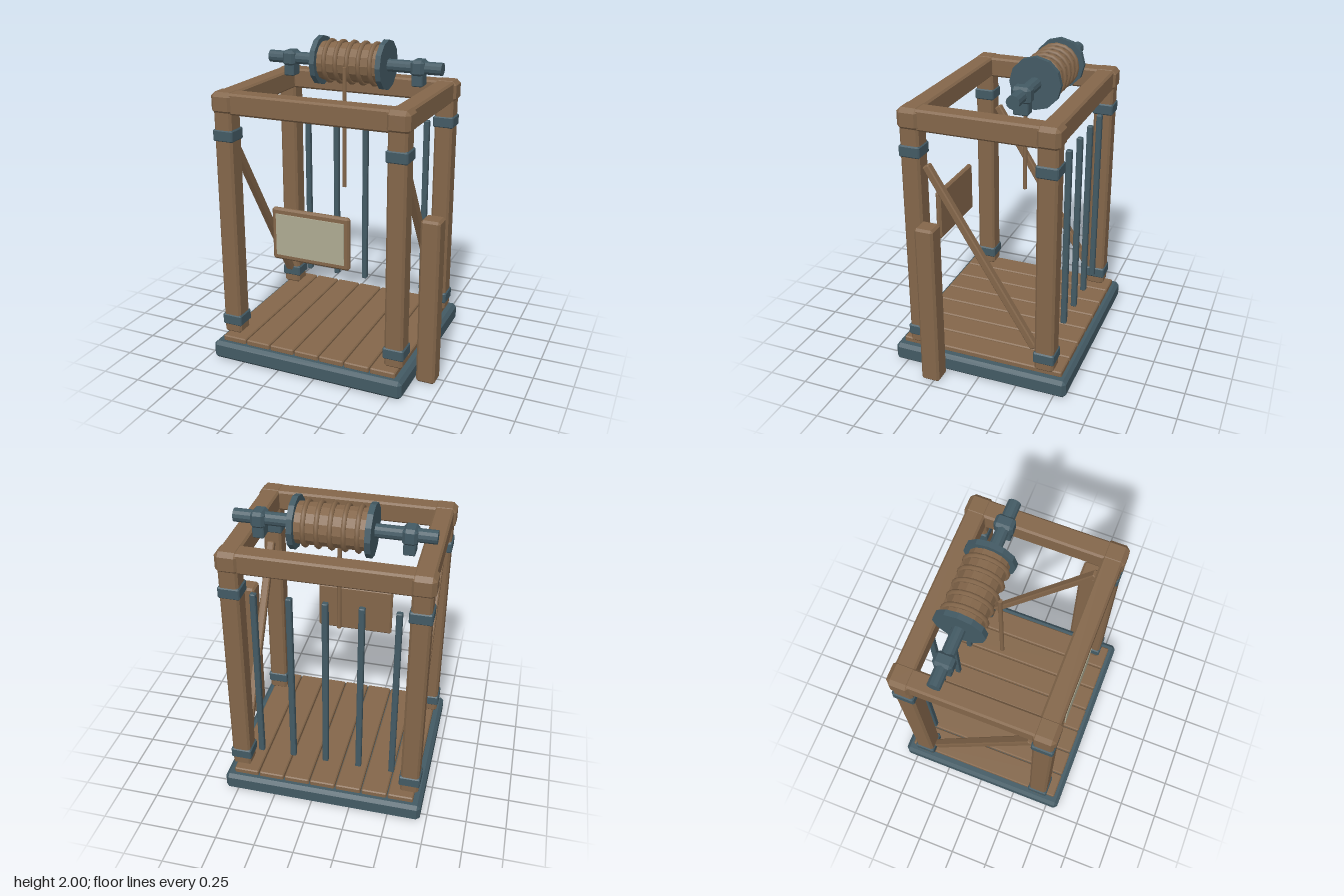
import * as THREE from 'three';
import { ConvexGeometry } from 'three/addons/geometries/ConvexGeometry.js';

const wood = new THREE.MeshStandardMaterial({ name: 'brown wood', color: 0x83664a });
const steel = new THREE.MeshStandardMaterial({ name: 'blue grey steel', color: 0x435a64 });
const paper = new THREE.MeshStandardMaterial({ name: 'pale paper', color: 0xaeaa92 });

// Box with flat chamfers: the hull of three points at each corner
function chamferBox(w, h, d, b) {
  const pts = [];
  for (const sx of [-1, 1]) for (const sy of [-1, 1]) for (const sz of [-1, 1]) {
    const x = sx * w / 2, y = sy * h / 2, z = sz * d / 2;
    pts.push(new THREE.Vector3(x, y - sy * b, z - sz * b),
      new THREE.Vector3(x - sx * b, y, z - sz * b),
      new THREE.Vector3(x - sx * b, y - sy * b, z));
  }
  return new ConvexGeometry(pts);
}

export function createModel() {
  const model = new THREE.Group();
  model.name = 'mineLift';
  const CX = -0.065, CZ = -0.005, PX = 0.555, PZ = 0.42;

  function add(parent, name, geometry, material, x, y, z) {
    const mesh = new THREE.Mesh(geometry, material);
    mesh.name = name;
    mesh.position.set(x, y, z);
    parent.add(mesh);
    return mesh;
  }
  function group(name) {
    const g = new THREE.Group();
    g.name = name;
    model.add(g);
    return g;
  }

  // Platform with floor planks
  const platform = group('platform');
  add(platform, 'base', chamferBox(1.29, 0.12, 1.155, 0.022), steel, CX, 0.06, 0);
  const plank = chamferBox(0.162, 0.04, 1.07, 0.007);
  for (let i = -3; i <= 3; i++) add(platform, 'floorPlank', plank, wood, CX + i * 0.17, 0.135, 0);

  // Corner posts, steel bands and corner caps
  const frame = group('frame');
  const post = chamferBox(0.118, 1.5, 0.122, 0.014);
  const band = chamferBox(0.134, 0.074, 0.134, 0.008);
  const cap = chamferBox(0.148, 0.137, 0.146, 0.026);
  for (const sx of [-1, 1]) for (const sz of [-1, 1]) {
    const x = CX + sx * PX, z = CZ + sz * PZ;
    add(frame, 'cornerPost', post, wood, x, 0.9, z);
    add(frame, 'lowerBand', band, steel, x, 0.243, z);
    add(frame, 'upperBand', band, steel, x, 1.475, z);
    add(frame, 'cornerCap', cap, wood, x, 1.672, z);
  }

  // Top beams and diagonal braces
  const longBeam = chamferBox(1.2, 0.13, 0.118, 0.012);
  const sideBeam = chamferBox(0.118, 0.13, 0.93, 0.012);
  const top = new THREE.Vector2(0.335, 1.378), foot = new THREE.Vector2(-0.345, 0.278);
  const run = top.clone().sub(foot);
  const brace = chamferBox(0.05, run.length() + 0.01, 0.046, 0.007);
  for (const s of [-1, 1]) {
    add(frame, 'longBeam', longBeam, wood, CX, 1.672, CZ + s * PZ);
    add(frame, 'sideBeam', sideBeam, wood, CX + s * PX, 1.672, CZ);
    const b = add(frame, 'brace', brace, wood, CX + s * PX, (top.y + foot.y) / 2, (top.x + foot.x) / 2);
    b.rotation.x = Math.atan2(run.x, run.y);
  }

  // Upright bars along the back
  const bars = group('backBars');
  const bar = chamferBox(0.036, 1.2, 0.036, 0.005);
  for (let i = -2; i <= 2; i++) add(bars, 'bar', bar, steel, CX + i * 0.2145, 0.86, CZ - PZ);

  // Notice board
  const board = group('noticeBoard');
  add(board, 'boardFrame', chamferBox(0.51, 0.335, 0.036, 0.012), wood, CX, 0.888, 0.427);
  add(board, 'boardPanel', new THREE.BoxGeometry(0.45, 0.265, 0.008), paper, CX, 0.888, 0.448);

  // Separate post beside the platform
  add(model, 'sidePost', chamferBox(0.12, 1.07, 0.12, 0.014), wood, 0.648, 0.535, 0.27);

  // Winch: axle, drum, flanges, rope coils and brackets
  const winch = group('winch');
  const WY = 1.843, WZ = -0.214;
  function roller(name, radius, length, x, sides, material) {
    const geometry = new THREE.CylinderGeometry(radius, radius, length, sides).toNonIndexed();
    geometry.rotateZ(Math.PI / 2);
    geometry.computeVertexNormals();
    add(winch, name, geometry, material, x, WY, WZ);
  }
  roller('axle', 0.04, 1.175, CX, 12, steel);
  roller('drum', 0.123, 0.42, CX, 14, wood);
  for (const s of [-1, 1]) {
    roller('flange', 0.157, 0.034, CX + s * 0.221, 12, steel);
    const x = CX + s * 0.437;
    add(winch, 'bearingCap', chamferBox(0.086, 0.1, 0.116, 0.018), steel, x, 1.843, WZ);
    add(winch, 'bracket', chamferBox(0.07, 0.13, 0.09, 0.006), steel, x, 1.795, WZ);
  }
  const coil = new THREE.TorusGeometry(0.127, 0.015, 6, 16);
  for (let i = -2; i <= 2; i++) {
    const ring = add(winch, 'ropeCoil', coil, wood, CX + i * 0.077, WY, WZ);
    ring.rotation.y = Math.PI / 2 + 0.03;
  }

  // Hanging rope
  add(winch, 'rope', new THREE.CylinderGeometry(0.014, 0.014, 0.775, 8), wood, CX, 1.4475, -0.071);

  return model;
}
